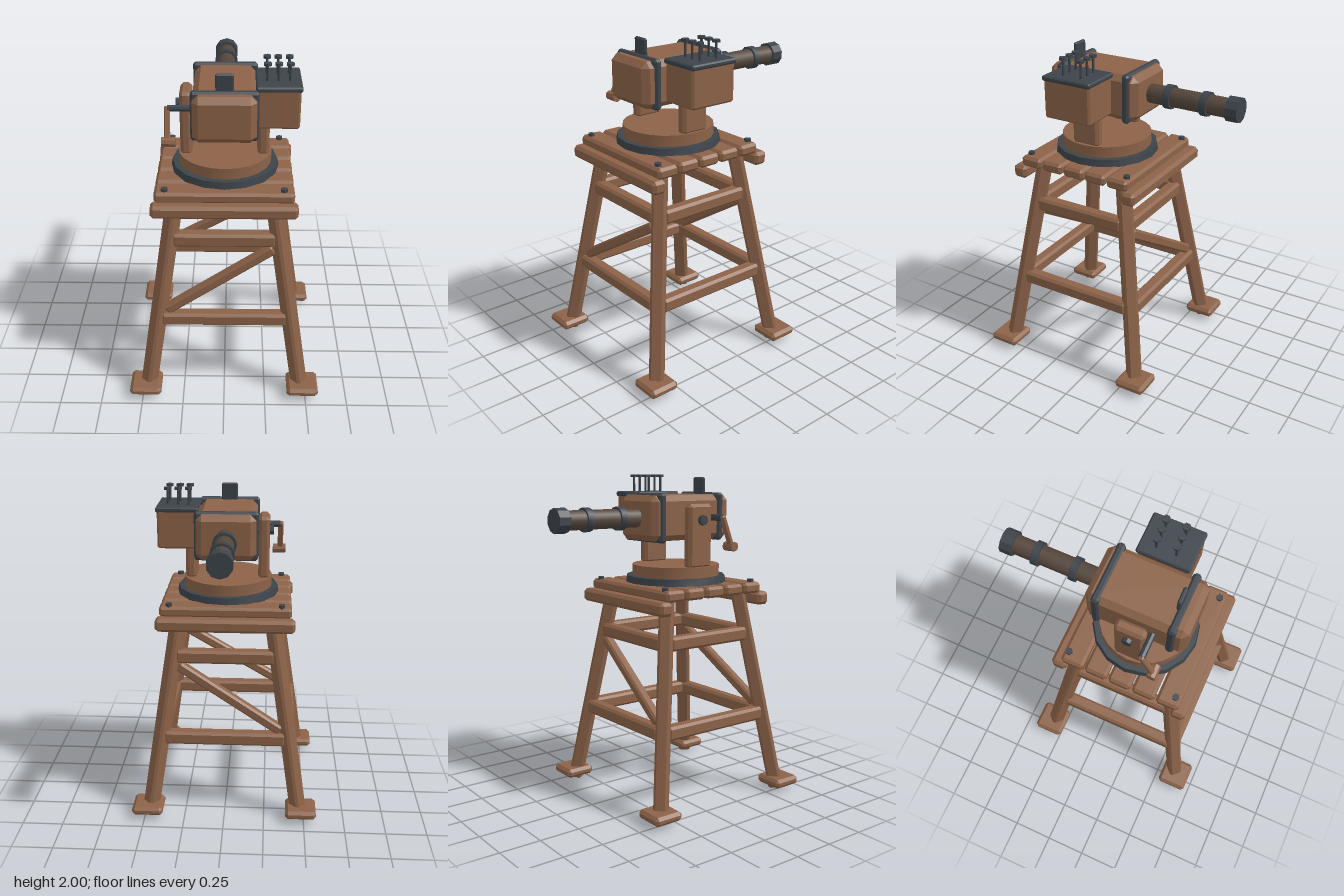
import * as THREE from 'three';
import { ConvexGeometry } from 'three/addons/geometries/ConvexGeometry.js';
import { toCreasedNormals } from 'three/addons/utils/BufferGeometryUtils.js';

const CZ = 0.145; // centre of the tower in z

// Box with chamfered edges
function chamferBox(w, h, d, c) {
  const pts = [], a = w / 2, b = h / 2, e = d / 2;
  for (const x of [-1, 1]) for (const y of [-1, 1]) for (const z of [-1, 1]) {
    pts.push(
      new THREE.Vector3(x * a, y * (b - c), z * (e - c)),
      new THREE.Vector3(x * (a - c), y * b, z * (e - c)),
      new THREE.Vector3(x * (a - c), y * (b - c), z * e));
  }
  return new ConvexGeometry(pts);
}

export function createModel() {
  const model = new THREE.Group();
  model.name = 'towerTurret';
  const material = (name, color) => {
    const m = new THREE.MeshStandardMaterial({ color });
    m.name = name;
    return m;
  };
  const wood = material('wood', 0x8b6248);
  const iron = material('darkIron', 0x3c434a);
  const bronze = material('barrelBrown', 0x55463c);

  const add = (name, geo, mat, x = 0, y = 0, z = 0) => {
    const mesh = new THREE.Mesh(geo, mat);
    mesh.name = name;
    mesh.position.set(x, y, z);
    model.add(mesh);
    return mesh;
  };
  const box = (name, mat, size, pos, c = 0.015) =>
    add(name, chamferBox(...size, c), mat, ...pos);

  // Beam of section w x h running between two points
  const beam = (name, mat, p, q, w, h, c = 0.012) => {
    const a = new THREE.Vector3(...p), b = new THREE.Vector3(...q);
    const mid = a.clone().add(b).multiplyScalar(0.5);
    const m = add(name, chamferBox(w, h, a.distanceTo(b), c), mat, mid.x, mid.y, mid.z);
    m.lookAt(b);
    return m;
  };

  // Cylinder along the x, y or z axis
  const cyl = (name, mat, axis, r, len, sides, pos, rTop = r) => {
    const g = new THREE.CylinderGeometry(rTop, r, len, sides);
    if (axis === 'x') g.rotateZ(Math.PI / 2);
    if (axis === 'z') g.rotateX(-Math.PI / 2);
    return add(name, toCreasedNormals(g, 0.6), mat, ...pos);
  };

  // Splayed legs and feet
  const legOffset = y => 0.472 - 0.15 * y;
  for (const sx of [-1, 1]) for (const sz of [-1, 1]) {
    const at = y => [sx * legOffset(y), y, CZ + sz * legOffset(y)];
    beam('leg', wood, at(0.01), at(1.285), 0.085, 0.085, 0.014);
    box('foot', wood, [0.19, 0.056, 0.19], [sx * 0.48, 0.061, CZ + sz * 0.48], 0.018);
  }

  // Rails on all four sides, braces on front and back
  for (const [y, half] of [[0.512, 0.375], [1.025, 0.3]]) {
    const o = legOffset(y);
    for (const s of [-1, 1]) {
      box('crossRail', wood, [half * 2, 0.084, 0.08], [0, y, CZ + s * o]);
      box('sideRail', wood, [0.08, 0.084, half * 2], [s * o, y, CZ]);
    }
  }
  for (const s of [-1, 1]) {
    beam('diagonalBrace', wood,
      [-0.345, 0.565, CZ + s * legOffset(0.565)],
      [0.288, 0.965, CZ + s * legOffset(0.965)], 0.06, 0.062);
  }

  // Platform: edge beams, planks and bolts
  for (const s of [-1, 1]) {
    box('edgeBeam', wood, [0.83, 0.08, 0.09], [0, 1.248, CZ + s * 0.378], 0.018);
    for (const x of [-0.335, 0.335])
      cyl('bolt', iron, 'y', 0.021, 0.025, 6, [x, 1.352, CZ + s * 0.335]);
  }
  for (let i = -2; i <= 2; i++)
    box('plank', wood, [0.79, 0.066, 0.138], [0, 1.315, CZ + 0.004 + i * 0.15], 0.016);

  // Turntable
  cyl('turntableRing', iron, 'y', 0.316, 0.042, 16, [0, 1.367, 0.15], 0.308);
  cyl('turntable', wood, 'y', 0.272, 0.07, 24, [0, 1.42, 0.15]);

  // Yoke arms and pivots
  for (const s of [-1, 1]) {
    box('yokeArm', wood, [0.068, 0.385, 0.178], [s * 0.222, 1.638, 0.145], 0.018);
    cyl('pivot', iron, 'x', 0.03, 0.11, 8, [s * 0.225, 1.735, 0.145]);
  }

  // Gun body with iron bands and sight
  box('body', wood, [0.355, 0.27, 0.595], [0, 1.747, 0.145], 0.035);
  for (const z of [-0.085, 0.355])
    box('bodyBand', iron, [0.378, 0.29, 0.048], [0, 1.748, z], 0.014);
  box('sight', iron, [0.1, 0.15, 0.024], [0, 1.91, 0.337], 0.008);

  // Barrel and its collars
  cyl('barrel', bronze, 'z', 0.057, 0.58, 12, [0, 1.748, -0.42]);
  for (const z of [-0.28, -0.51])
    cyl('barrelBand', iron, 'z', 0.071, 0.042, 12, [0, 1.748, z]);
  cyl('muzzle', iron, 'z', 0.073, 0.072, 10, [0, 1.748, -0.684]);

  // Ammunition box with lid and pins
  box('ammoBox', wood, [0.24, 0.235, 0.305], [0.3, 1.762, 0.153], 0.012);
  box('ammoLid', iron, [0.256, 0.03, 0.318], [0.3, 1.88, 0.153], 0.008);
  for (const x of [0.235, 0.297, 0.36]) for (const z of [0.09, 0.207]) {
    cyl('pinShaft', iron, 'y', 0.008, 0.1, 6, [x, 1.94, z]);
    cyl('pinHead', iron, 'y', 0.024, 0.015, 6, [x, 1.9925, z]);
  }

  // Hand crank
  cyl('crankShaft', iron, 'x', 0.02, 0.15, 8, [-0.245, 1.748, 0.253]);
  beam('crankArm', wood, [-0.322, 1.76, 0.25], [-0.322, 1.575, 0.325], 0.034, 0.03, 0.006);
  cyl('crankHandle', wood, 'x', 0.029, 0.08, 8, [-0.315, 1.574, 0.325]);

  return model;
}
